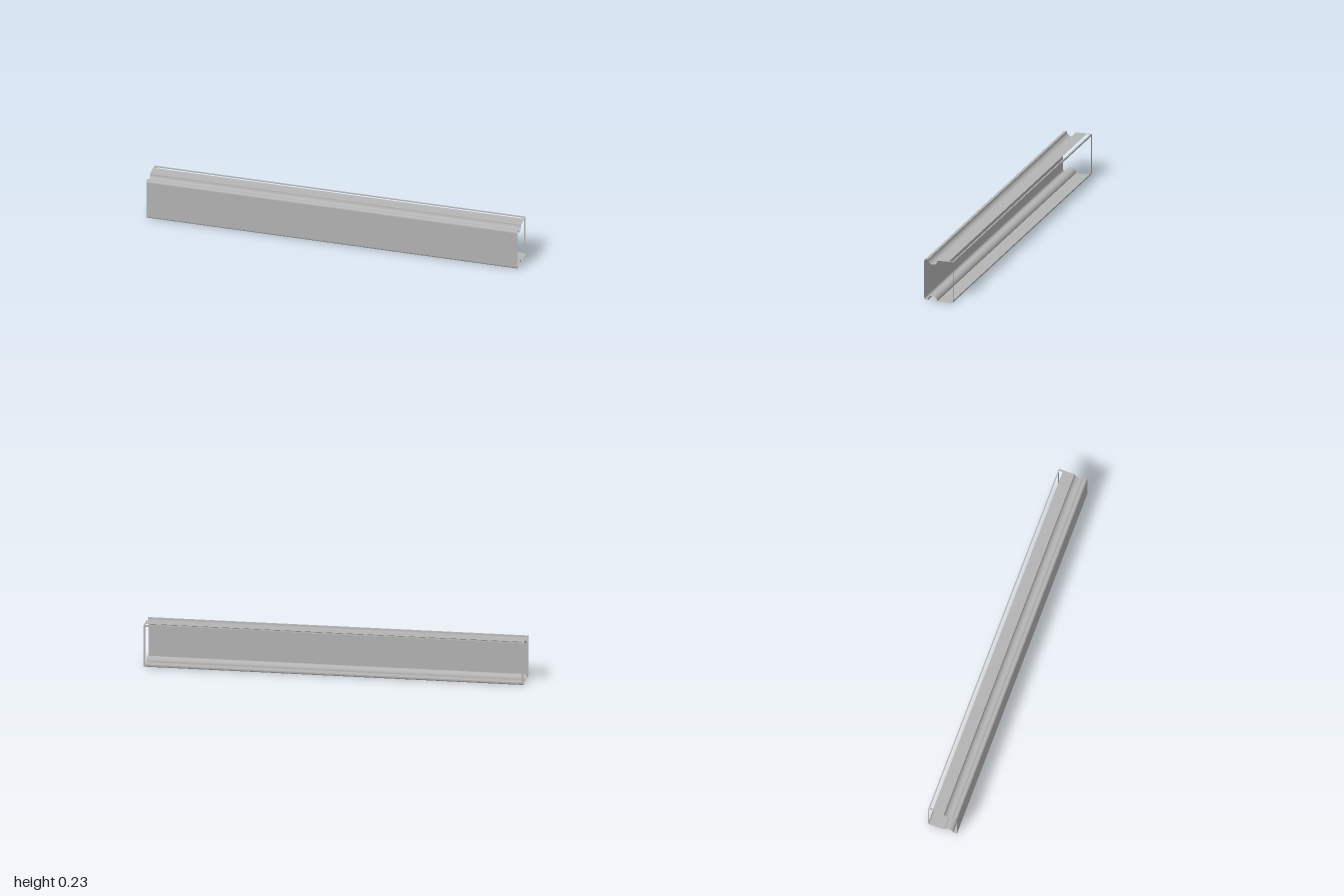
import * as THREE from 'three';

export function createModel() {
  const group = new THREE.Group();
  const steel = new THREE.MeshStandardMaterial({ color: 0xb4b4b4, side: THREE.DoubleSide });
  steel.name = 'galvanised grey';

  // Sweep a [z, y] profile along x as a thin smooth sheet
  function sheet(name, profile, x0 = -1, x1 = 1) {
    const position = [], index = [];
    profile.forEach(([z, y], i) => {
      position.push(x0, y, z, x1, y, z);
      if (i > 0) {
        const a = 2 * (i - 1);
        index.push(a, a + 1, a + 3, a, a + 3, a + 2);
      }
    });
    const geometry = new THREE.BufferGeometry();
    geometry.setAttribute('position', new THREE.Float32BufferAttribute(position, 3));
    geometry.setIndex(index);
    geometry.computeVertexNormals();
    const mesh = new THREE.Mesh(geometry, steel);
    mesh.name = name;
    group.add(mesh);
  }

  // Arc in the z-y plane, angles in degrees from +z towards +y
  function arc(cz, cy, r, from, to, n) {
    return Array.from({ length: n + 1 }, (_, i) => {
      const t = THREE.MathUtils.degToRad(from + (to - from) * i / n);
      return [cz + r * Math.cos(t), cy + r * Math.sin(t)];
    });
  }

  const F = 0.08, B = -0.08, T = 0.226, R = 0.012;
  const gz = 0.033, gr = 0.026;

  // Bottom flange with its raised groove
  sheet('bottomBackLip', [[B, 0.014], [B, 0.008]]);
  sheet('bottomBackCorner', arc(B + 0.008, 0.008, 0.008, 180, 270, 5));
  sheet('bottomFlange', [[B + 0.008, 0], [gz - gr, 0]]);
  sheet('bottomGroove', arc(gz, 0, gr, 180, 0, 16));
  sheet('bottomFrontLip', [[gz + gr, 0], [F - R, 0]]);
  sheet('bottomFrontCorner', arc(F - R, R, R, -90, 0, 6));

  // Front web
  sheet('frontPanel', [[F, R], [F, T - R]]);

  // Top flange with its sunken groove
  sheet('topFrontCorner', arc(F - R, T - R, R, 0, 90, 6));
  sheet('topFrontLip', [[F - R, T], [gz + gr, T]]);
  sheet('topGroove', arc(gz, T, gr, 0, -180, 16));
  sheet('topFlange', [[gz - gr, T], [-0.055, 0.228]]);

  // Narrow rim around the open slot and the open back
  sheet('topBackRail', [[-0.073, 0.228], [B, 0.228]]);
  sheet('upperBackRail', [[B, 0.228], [B, 0.219]]);
  for (const [side, x0, x1] of [['left', 0.99, 1], ['right', -1, -0.99]]) {
    sheet(side + 'TopStrip', [[-0.055, 0.228], [-0.073, 0.228]], x0, x1);
    sheet(side + 'BackPost', [[B, 0.219], [B, 0.014]], x0, x1);
  }

  return group;
}
